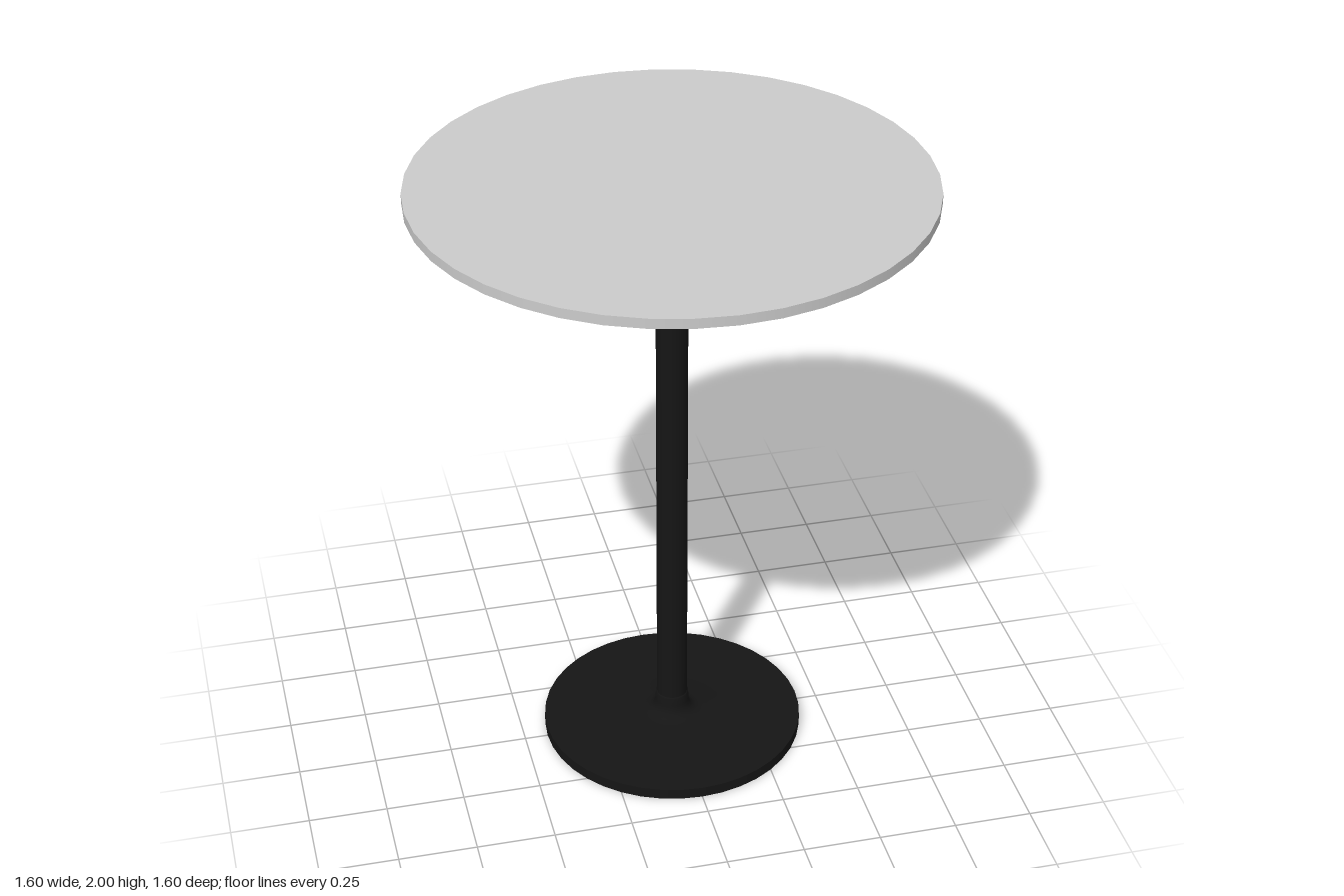
import * as THREE from 'three';

const SEGMENTS = 40;

export function createModel() {
  const table = new THREE.Group();
  table.name = 'pedestalTable';

  const grey = new THREE.MeshStandardMaterial({ color: 0xcccccc });
  const black = new THREE.MeshStandardMaterial({ color: 0x151515 });

  // Upright disc or post between two heights
  const addRound = (name, radius, bottom, top, material) => {
    const mesh = new THREE.Mesh(
      new THREE.CylinderGeometry(radius, radius, top - bottom, SEGMENTS), material);
    mesh.name = name;
    mesh.position.y = (bottom + top) / 2;
    table.add(mesh);
  };

  addRound('tableTop', 0.8, 1.968, 2, grey);
  addRound('post', 0.05, 0.03, 1.968, black);
  addRound('basePlate', 0.425, 0, 0.036, black);

  // Collar: shallow rise on the plate, then a fillet up into a short sleeve
  const profile = [
    [0.19, 0.035], [0.1, 0.041], [0.08, 0.046], [0.066, 0.056],
    [0.058, 0.07], [0.055, 0.088], [0.054, 0.115], [0.05, 0.119],
  ].map(([r, y]) => new THREE.Vector2(r, y));
  const collar = new THREE.Mesh(new THREE.LatheGeometry(profile, SEGMENTS), black);
  collar.name = 'postCollar';
  table.add(collar);

  return table;
}
